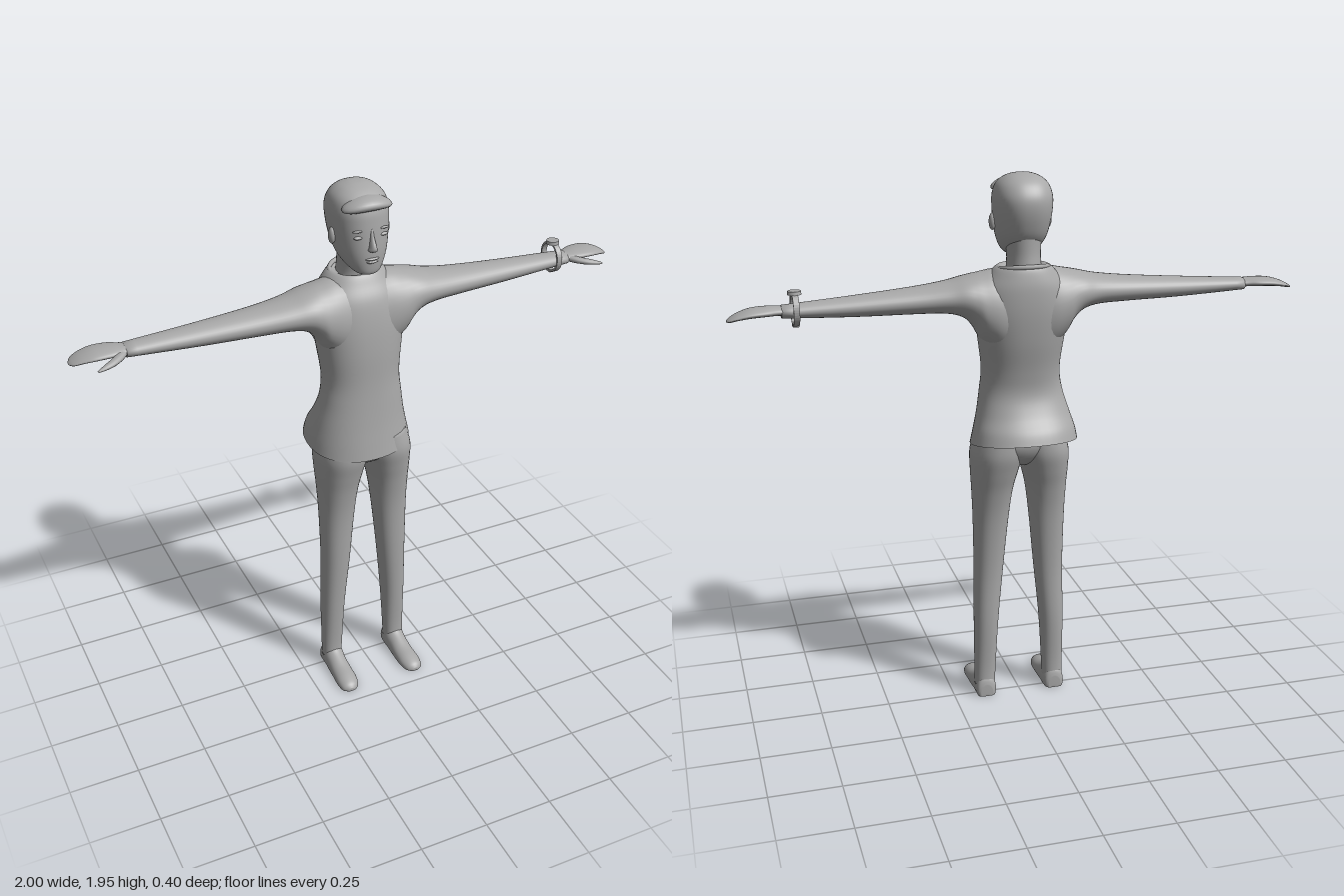
import * as THREE from 'three';

const grey = new THREE.MeshStandardMaterial({ color: 0xa8a8a8, side: THREE.DoubleSide });
grey.name = 'plain grey';

// Catmull-Rom blend of every number in four neighbouring sections
function blend(p0, p1, p2, p3, t) {
  return p1.map((v, i) => {
    const a = p0[i], b = v, c = p2[i], d = p3[i];
    return b + 0.5 * t * (c - a + t * (2 * a - 5 * b + 4 * c - d + t * (3 * (b - c) + d - a)));
  });
}

// Skin over sections [t, aMin, aMax, bMin, bMax] set along an axis:
// y: a = x, b = z;  x: a = z, b = y;  z: a = y, b = x
function loft(axis, sections, { power = 2, sides = 36, steps = 5, caps = true } = {}) {
  const rows = [];
  const at = (i) => sections[Math.min(Math.max(i, 0), sections.length - 1)];
  for (let i = 0; i < sections.length - 1; i++)
    for (let s = 0; s < steps; s++) rows.push(blend(at(i - 1), at(i), at(i + 1), at(i + 2), s / steps));
  rows.push(at(sections.length - 1));
  const round = (v) => Math.sign(v) * Math.abs(v) ** (2 / power);
  const pos = [], index = [];
  const put = (t, a, b) => pos.push(...(axis === 'y' ? [a, t, b] : axis === 'x' ? [t, b, a] : [b, a, t]));
  for (const [t, a0, a1, b0, b1] of rows)
    for (let j = 0; j < sides; j++) {
      const q = (j / sides) * Math.PI * 2;
      put(t, (a0 + a1) / 2 + ((a1 - a0) / 2) * round(Math.cos(q)), (b0 + b1) / 2 + ((b1 - b0) / 2) * round(Math.sin(q)));
    }
  for (let i = 0; i < rows.length - 1; i++)
    for (let j = 0; j < sides; j++) {
      const k = (j + 1) % sides, a = i * sides + j, b = i * sides + k;
      index.push(a, a + sides, b, b, a + sides, b + sides);
    }
  if (caps)
    [0, rows.length - 1].forEach((r, end) => {
      const [t, a0, a1, b0, b1] = rows[r], c = pos.length / 3;
      put(t, (a0 + a1) / 2, (b0 + b1) / 2);
      for (let j = 0; j < sides; j++) {
        const a = r * sides + j, b = r * sides + ((j + 1) % sides);
        index.push(c, ...(end ? [b, a] : [a, b]));
      }
    });
  const geo = new THREE.BufferGeometry();
  geo.setAttribute('position', new THREE.Float32BufferAttribute(pos, 3));
  geo.setIndex(index);
  geo.computeVertexNormals();
  return geo;
}

// Move every vertex by a rule
function bend(geo, rule) {
  const p = geo.attributes.position, v = new THREE.Vector3();
  for (let i = 0; i < p.count; i++) {
    rule(v.fromBufferAttribute(p, i));
    p.setXYZ(i, v.x, v.y, v.z);
  }
  geo.computeVertexNormals();
  return geo;
}

function mirrored(geo) {
  const m = geo.clone().scale(-1, 1, 1), ix = m.index.array;
  for (let i = 0; i < ix.length; i += 3) [ix[i], ix[i + 1]] = [ix[i + 1], ix[i]];
  m.computeVertexNormals();
  return m;
}

const blob = (x, y, z, rx, ry, rz) => new THREE.SphereGeometry(1, 24, 16).scale(rx, ry, rz).translate(x, y, z);

export function createModel() {
  const model = new THREE.Group();
  const add = (name, geo) => {
    const mesh = new THREE.Mesh(geo, grey);
    mesh.name = name;
    model.add(mesh);
    return mesh;
  };
  const pair = (name, geo) => {
    add('left ' + name, geo);
    add('right ' + name, mirrored(geo));
  };

  // Jumper body: flared hem dipping at the front, rim folded in at the neck
  const jumper = loft('y', [
    [1.0, -0.2, 0.182, -0.198, 0.13],
    [1.05, -0.192, 0.17, -0.18, 0.122],
    [1.11, -0.176, 0.155, -0.143, 0.113],
    [1.19, -0.154, 0.142, -0.114, 0.104],
    [1.27, -0.143, 0.136, -0.12, 0.098],
    [1.38, -0.154, 0.15, -0.143, 0.094],
    [1.48, -0.168, 0.166, -0.156, 0.083],
    [1.56, -0.153, 0.153, -0.157, 0.064],
    [1.61, -0.12, 0.12, -0.15, 0.036],
    [1.642, -0.088, 0.088, -0.139, 0.014],
    [1.63, -0.06, 0.06, -0.125, 0]
  ], { power: 2.2, sides: 48, caps: false });
  add('jumper body', bend(jumper, (v) => { v.y -= 0.16 * v.z * Math.max(0, 1 - (v.y - 1) / 0.18); }));

  // Collar ring
  const ring = [];
  for (let i = 0; i < 16; i++) {
    const q = (i / 16) * Math.PI * 2;
    ring.push(new THREE.Vector3(0.087 * Math.cos(q), 1.634 - 0.012 * Math.sin(q), -0.062 + 0.075 * Math.sin(q)));
  }
  add('collar', new THREE.TubeGeometry(new THREE.CatmullRomCurve3(ring, true), 48, 0.008, 8, true));

  // Sleeves, wide where they melt into the body
  pair('sleeve', loft('x', [
    [0.05, -0.14, 0.07, 1.32, 1.625],
    [0.1, -0.148, 0.075, 1.345, 1.628],
    [0.145, -0.145, 0.075, 1.385, 1.62],
    [0.175, -0.138, 0.072, 1.435, 1.614],
    [0.21, -0.13, 0.068, 1.468, 1.606],
    [0.27, -0.113, 0.059, 1.484, 1.592],
    [0.38, -0.098, 0.044, 1.488, 1.578],
    [0.58, -0.085, 0.022, 1.492, 1.562],
    [0.82, -0.074, 0, 1.503, 1.546]
  ]));

  // Flat mitten hands with a separate thumb
  pair('hand', loft('x', [
    [0.79, -0.068, -0.006, 1.51, 1.541],
    [0.83, -0.076, 0, 1.514, 1.544],
    [0.87, -0.092, 0.004, 1.515, 1.546],
    [0.92, -0.098, 0.002, 1.514, 1.543],
    [0.96, -0.094, -0.01, 1.51, 1.532],
    [0.988, -0.084, -0.024, 1.505, 1.518],
    [1.0, -0.06, -0.045, 1.505, 1.509]
  ]));
  pair('thumb', loft('x', [
    [0.815, -0.03, -0.01, 1.518, 1.536],
    [0.84, -0.025, 0.02, 1.513, 1.537],
    [0.87, 0.004, 0.041, 1.511, 1.533],
    [0.9, 0.026, 0.051, 1.51, 1.527],
    [0.925, 0.042, 0.053, 1.51, 1.519],
    [0.932, 0.047, 0.05, 1.512, 1.515]
  ], { sides: 16 }));

  // Loose wristwatch on the left arm
  const band = [[0.049, -0.01], [0.056, -0.01], [0.056, 0.01], [0.049, 0.01], [0.049, -0.01]];
  const strap = new THREE.LatheGeometry(band.map(([r, h]) => new THREE.Vector2(r, h)), 40).toNonIndexed();
  strap.computeVertexNormals();
  add('watch strap', strap.rotateZ(-Math.PI / 2).translate(0.775, 1.532, -0.047));
  add('watch case', new THREE.CylinderGeometry(0.022, 0.024, 0.012, 28).translate(0.775, 1.588, -0.047));
  add('watch clasp', new THREE.BoxGeometry(0.022, 0.006, 0.026).translate(0.775, 1.477, -0.047));

  // Trousers
  add('trouser seat', loft('y', [
    [0.908, -0.01, 0.01, -0.03, 0.01],
    [0.925, -0.06, 0.06, -0.075, 0.06],
    [0.96, -0.13, 0.13, -0.112, 0.098],
    [1.01, -0.165, 0.162, -0.13, 0.112],
    [1.08, -0.15, 0.145, -0.12, 0.1]
  ]));
  pair('trouser leg', loft('y', [
    [0.04, 0.094, 0.17, -0.036, 0.036],
    [0.12, 0.09, 0.17, -0.036, 0.036],
    [0.3, 0.08, 0.17, -0.048, 0.048],
    [0.5, 0.061, 0.167, -0.051, 0.06],
    [0.7, 0.042, 0.169, -0.068, 0.069],
    [0.82, 0.027, 0.173, -0.09, 0.084],
    [0.9, 0.008, 0.177, -0.113, 0.1],
    [0.97, -0.01, 0.176, -0.13, 0.113],
    [1.04, -0.01, 0.155, -0.128, 0.108]
  ], { power: 2.2 }));

  // Feet with flat soles
  const foot = loft('z', [
    [-0.041, -0.02, 0.045, 0.11, 0.155],
    [-0.03, -0.03, 0.075, 0.096, 0.168],
    [0.01, -0.03, 0.088, 0.092, 0.17],
    [0.05, -0.03, 0.066, 0.094, 0.17],
    [0.1, -0.025, 0.047, 0.093, 0.172],
    [0.15, -0.022, 0.038, 0.094, 0.174],
    [0.185, -0.018, 0.027, 0.105, 0.167],
    [0.2, -0.005, 0.012, 0.125, 0.147]
  ]);
  pair('foot', bend(foot, (v) => { v.y = Math.max(0, v.y); }));

  // Neck and head
  add('neck', loft('y', [
    [1.59, -0.07, 0.07, -0.135, 0.005],
    [1.64, -0.06, 0.06, -0.135, 0],
    [1.69, -0.058, 0.058, -0.131, 0.004],
    [1.76, -0.065, 0.065, -0.132, 0.01]
  ]));
  add('head', loft('y', [
    [1.663, -0.018, 0.018, 0.03, 0.06],
    [1.673, -0.044, 0.044, -0.02, 0.073],
    [1.7, -0.068, 0.068, -0.09, 0.078],
    [1.74, -0.085, 0.085, -0.132, 0.08],
    [1.79, -0.095, 0.095, -0.154, 0.078],
    [1.84, -0.1, 0.1, -0.165, 0.074],
    [1.88, -0.099, 0.099, -0.162, 0.068],
    [1.915, -0.086, 0.086, -0.142, 0.052],
    [1.938, -0.06, 0.06, -0.112, 0.016],
    [1.949, -0.028, 0.028, -0.078, -0.022],
    [1.951, -0.001, 0.001, -0.051, -0.049]
  ], { power: 2.25, sides: 48 }));

  // Swept fringe above the forehead
  add('fringe', bend(blob(0, 1.907, 0.036, 0.088, 0.024, 0.05), (v) => { v.y -= 2 * v.x * v.x; }));

  // Face
  pair('ear', blob(0.098, 1.787, -0.025, 0.012, 0.029, 0.016));
  pair('eye', blob(0.045, 1.803, 0.066, 0.016, 0.006, 0.008));
  pair('eyebrow', blob(0.046, 1.825, 0.066, 0.02, 0.004, 0.007));
  add('nose', loft('y', [
    [1.752, -0.006, 0.006, 0.06, 0.085],
    [1.758, -0.016, 0.016, 0.06, 0.098],
    [1.772, -0.012, 0.012, 0.06, 0.101],
    [1.8, -0.008, 0.008, 0.06, 0.086],
    [1.83, -0.005, 0.005, 0.06, 0.075]
  ], { sides: 20 }));
  add('upper lip', blob(0, 1.726, 0.077, 0.025, 0.005, 0.01));
  add('lower lip', blob(0, 1.716, 0.077, 0.02, 0.005, 0.01));
  return model;
}
